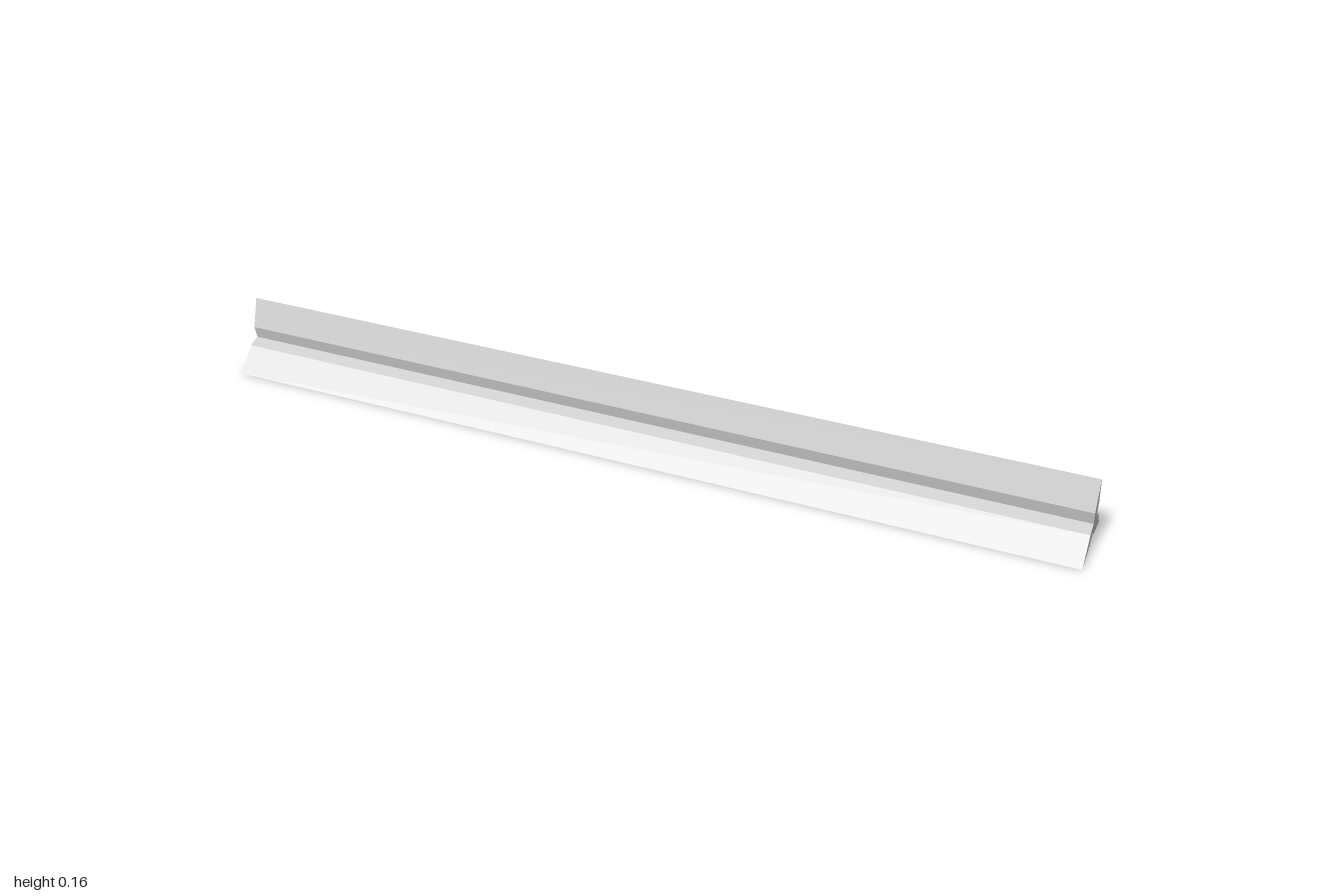
import * as THREE from 'three';

const LENGTH = 2;
const CENTRE_Y = 0.0533;

// One blade, pointing up: [across, outward] from the bar's axis, ending at the next valley.
const BLADE = [[0.022, 0.0385], [0, 0.1067], [-0.022, 0.0385], [-0.0155, 0.009]];

export function createModel() {
  const group = new THREE.Group();
  group.name = 'triangularScaleRuler';

  const greyPlastic = new THREE.MeshStandardMaterial({ color: 0xd0cfcf });
  greyPlastic.name = 'light grey plastic';

  // Three-bladed cross-section, each blade turned a third of a circle
  const points = [];
  for (let i = 0; i < 3; i++) {
    const turn = (i * Math.PI * 2) / 3;
    for (const [x, y] of BLADE) {
      points.push(new THREE.Vector2(x, y).rotateAround(new THREE.Vector2(), turn));
    }
  }

  // Bar swept along x
  const geometry = new THREE.ExtrudeGeometry(new THREE.Shape(points), {
    depth: LENGTH, bevelEnabled: false,
  });
  geometry.translate(0, CENTRE_Y, -LENGTH / 2);
  geometry.rotateY(Math.PI / 2);

  const bar = new THREE.Mesh(geometry, greyPlastic);
  bar.name = 'rulerBar';
  group.add(bar);
  return group;
}
